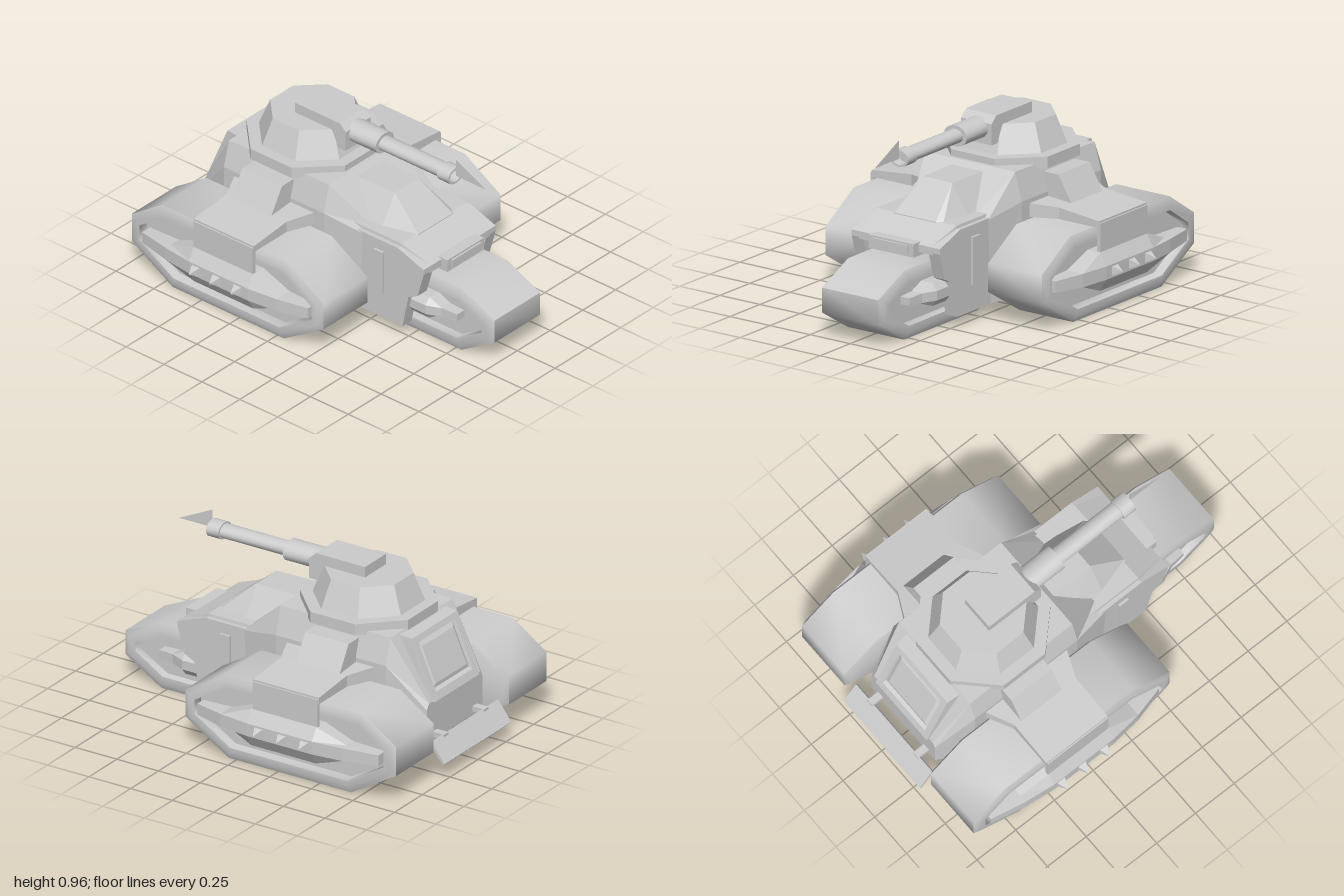
import * as THREE from 'three';
import { toCreasedNormals } from 'three/addons/utils/BufferGeometryUtils.js';

const flat = new THREE.MeshStandardMaterial({ color: 0xcccccc, flatShading: true });
const smooth = new THREE.MeshStandardMaterial({ color: 0xcccccc });
const thin = new THREE.MeshStandardMaterial({ color: 0xcccccc, flatShading: true, side: THREE.DoubleSide });

// Skins a list of equal-length rings of [x, y, z] corners, capped and turned outward
function loft(rings) {
  const pos = [];
  const tri = (a, b, c) => pos.push(...a, ...b, ...c);
  const n = rings[0].length;
  for (let r = 0; r < rings.length - 1; r++) {
    for (let i = 0; i < n; i++) {
      const j = (i + 1) % n, A = rings[r], B = rings[r + 1];
      tri(A[i], A[j], B[j]);
      tri(A[i], B[j], B[i]);
    }
  }
  const first = rings[0], last = rings[rings.length - 1];
  for (let i = 1; i < n - 1; i++) {
    tri(first[0], first[i + 1], first[i]);
    tri(last[0], last[i], last[i + 1]);
  }
  let volume = 0;
  const a = new THREE.Vector3(), b = new THREE.Vector3(), c = new THREE.Vector3();
  for (let i = 0; i < pos.length; i += 9) {
    volume += a.fromArray(pos, i).dot(b.fromArray(pos, i + 3).cross(c.fromArray(pos, i + 6)));
  }
  if (volume < 0) {
    for (let i = 0; i < pos.length; i += 9) {
      for (let k = 3; k < 6; k++) [pos[i + k], pos[i + k + 3]] = [pos[i + k + 3], pos[i + k]];
    }
  }
  const geo = new THREE.BufferGeometry();
  geo.setAttribute('position', new THREE.Float32BufferAttribute(pos, 3));
  geo.computeVertexNormals();
  return geo;
}

// Moves every edge of a convex [z, y] outline inward by d
function inset(outline, d) {
  const n = outline.length;
  return outline.map((p, i) => {
    const q = outline[(i + n - 1) % n], r = outline[(i + 1) % n];
    const u = new THREE.Vector2(p[0] - q[0], p[1] - q[1]).normalize();
    const v = new THREE.Vector2(r[0] - p[0], r[1] - p[1]).normalize();
    const k = d / (1 + u.dot(v));
    return [p[0] + k * (u.y + v.y), p[1] - k * (u.x + v.x)];
  });
}

// Symmetric cross-section at z from right-hand [x, y] corners, bottom to top
const section = (z, half) => [
  ...half.map(([x, y]) => [x, y, z]),
  ...half.slice().reverse().map(([x, y]) => [-x, y, z]),
];

export function createModel() {
  const model = new THREE.Group();
  const add = (name, geo, mat = flat) => {
    const mesh = new THREE.Mesh(geo, mat);
    mesh.name = name;
    model.add(mesh);
    return mesh;
  };
  // Box given by its limits
  const box = (name, x0, x1, y0, y1, z0, z1) => add(name, new THREE.BoxGeometry(Math.abs(x1 - x0), y1 - y0, z1 - z0)
    .translate((x0 + x1) / 2, (y0 + y1) / 2, (z0 + z1) / 2));
  // Track with chamfered edges; each step is [x, inset]
  const track = (name, outline, steps) => add(name, toCreasedNormals(
    loft(steps.map(([x, d]) => inset(outline, d).map(([z, y]) => [x, y, z]))), 1.07), smooth);
  // Faceted side pod; each station is [z, half height, outer x]
  const pod = (name, s, y, base, lip, ridge, stations) => add(name, loft(stations.map(([z, h, x]) => {
    const k = Math.min(h, ridge);
    return [[base, -h], [x - lip, -h], [x, -k], [x, k], [x - lip, h], [base, h]].map(([px, py]) => [s * px, y + py, z]);
  })));

  // Hull
  add('mainHull', loft([
    section(0.22, [[0.27, 0.06], [0.275, 0.5], [0.2, 0.51]]),
    section(0, [[0.32, 0.06], [0.32, 0.55], [0.28, 0.7]]),
    section(-0.66, [[0.32, 0.06], [0.32, 0.55], [0.28, 0.69]]),
    section(-0.86, [[0.25, 0.15], [0.25, 0.33], [0.23, 0.36]]),
  ]));
  add('frontDeck', loft([
    section(0.62, [[0.23, 0.41], [0.22, 0.45]]),
    section(0.45, [[0.27, 0.4], [0.25, 0.525]]),
    section(0.1, [[0.27, 0.4], [0.25, 0.525]]),
  ]));
  add('canopyHump', loft([
    section(0.46, [[0.17, 0.5], [0.13, 0.525]]),
    section(0.27, [[0.2, 0.5], [0.09, 0.675]]),
    section(-0.02, [[0.22, 0.5], [0.1, 0.675]]),
  ]));
  box('noseBlock', -0.14, 0.14, 0.39, 0.46, 0.52, 0.66);
  box('nosePanel', -0.11, 0.11, 0.4, 0.45, 0.65, 0.67);

  // Rear hatch on the sloping back
  const hatch = (w, y0, z0, y1, z1) => [[-w, y0, z0], [w, y0, z0], [w, y1, z1], [-w, y1, z1]];
  add('rearHatch', loft([
    hatch(0.21, 0.36, -0.82, 0.68, -0.64),
    hatch(0.2, 0.36, -0.875, 0.675, -0.74),
    hatch(0.165, 0.4, -0.858, 0.645, -0.753),
    hatch(0.16, 0.41, -0.838, 0.635, -0.738),
    hatch(0.14, 0.43, -0.838, 0.615, -0.758),
  ]));
  add('rearFlap', loft([-0.3, 0.3].map((x) => [
    [x, 0.18, -0.91], [x, 0.195, -0.92], [x, 0.09, -1], [x, 0.08, -0.99],
  ])));

  // Front track
  track('frontTrack', [
    [1, 0.26], [0.785, 0.36], [0.2, 0.36], [0.05, 0.2], [0.05, 0.07], [0.17, 0], [0.785, 0], [1, 0.13],
  ].reverse(), [
    [-0.15, 0.075], [-0.19, 0.07], [-0.19, 0.03], [-0.175, 0],
    [0.175, 0], [0.19, 0.03], [0.19, 0.07], [0.15, 0.075],
  ]);

  const rearOutline = [
    [0.305, 0.31], [0.07, 0.455], [-0.76, 0.455], [-0.96, 0.32], [-0.96, 0.16], [-0.69, 0], [0.045, 0], [0.305, 0.16],
  ].reverse();

  for (const s of [1, -1]) {
    // Front cheeks beside the front track
    const cheek = [[0.62, 0.45], [0.45, 0.51], [0, 0.51], [0, 0.06], [0.48, 0.06], [0.52, 0.25], [0.58, 0.28], [0.62, 0.42]];
    const shape = new THREE.Shape(cheek.map(([z, y]) => new THREE.Vector2(-z, y)));
    add('frontCheek', new THREE.ExtrudeGeometry(shape, { depth: 0.07, bevelEnabled: false })
      .rotateY(Math.PI / 2).translate(s * 0.24 - 0.035, 0, 0));
    box('cheekRib', s * 0.26, s * 0.288, 0.2, 0.45, 0.3, 0.36);
    pod('frontAxlePod', s, 0.2, 0.14, 0.03, 0.025, [
      [0.78, 0.02, 0.205], [0.69, 0.025, 0.215], [0.61, 0.06, 0.25], [0.42, 0.06, 0.25], [0.3, 0.02, 0.22],
    ]);

    // Rear track with side pod and spikes
    track('rearTrack', rearOutline, [
      [0.325, 0.03], [0.34, 0], [0.675, 0], [0.69, 0.03], [0.69, 0.065], [0.64, 0.07],
    ].map(([x, d]) => [s * x, d]));
    pod('sidePod', s, 0.23, 0.6, 0.04, 0.035, [
      [0.22, 0.03, 0.695], [0.05, 0.036, 0.74], [-0.12, 0.1, 0.76],
      [-0.51, 0.1, 0.76], [-0.68, 0.036, 0.74], [-0.87, 0.03, 0.7],
    ]);
    for (const z of [-0.19, -0.33, -0.465]) {
      add('spike', new THREE.ConeGeometry(0.036, 0.055, 4, 1, false, Math.PI / 4)
        .rotateZ(-s * Math.PI / 2).translate(s * 0.785, 0.23, z));
    }

    // Sponson bridging hull and track
    add('sponson', loft([[0.28, 0.455, 0.53, -0.05, -0.61], [0.46, 0.455, 0.515, -0.125, -0.52], [0.71, 0.455, 0.49, -0.125, -0.52]]
      .map(([x, y0, y1, z0, z1]) => [[s * x, y0, z0], [s * x, y1, z0], [s * x, y1, z1], [s * x, y0, z1]])));
    box('sponsonSkirt', s * 0.698, s * 0.718, 0.32, 0.48, -0.515, -0.125);
    add('sponsonBlock', loft([-0.22, -0.48].map((z) => [
      [s * 0.28, 0.48, z], [s * 0.485, 0.48, z], [s * 0.385, 0.65, z], [s * 0.28, 0.65, z],
    ])));
    box('flapStrut', s * 0.16, s * 0.2, 0.165, 0.195, -0.93, -0.8);
  }

  // Turret
  const octagon = (name, top, bottom, y0, y1) => {
    const k = 1 / Math.cos(Math.PI / 8);
    add(name, new THREE.CylinderGeometry(top * k, bottom * k, y1 - y0, 8, 1, false, Math.PI / 8)
      .translate(0, (y0 + y1) / 2, -0.345));
  };
  octagon('turretRing', 0.325, 0.325, 0.675, 0.735);
  octagon('turret', 0.21, 0.265, 0.735, 0.88);
  const mantlet = [[-0.05, 0.79], [-0.05, 0.9], [-0.09, 0.937], [-0.385, 0.937], [-0.385, 0.87], [-0.14, 0.79]];
  add('gunMantlet', loft([-0.095, 0.095].map((x) => mantlet.map(([z, y]) => [x, y, z]))));

  // Gun barrel with hollow muzzle
  const bore = [[0, -0.1], [0.055, -0.1], [0.055, 0.125], [0.037, 0.125], [0.037, 0.52],
    [0.045, 0.52], [0.045, 0.595], [0.034, 0.595], [0.034, 0.54], [0, 0.54]];
  const barrel = add('gunBarrel', toCreasedNormals(
    new THREE.LatheGeometry(bore.map(([r, z]) => new THREE.Vector2(r, z)), 16).rotateX(Math.PI / 2), 0.6), smooth);
  barrel.scale.x = 1.3;
  barrel.position.y = 0.867;

  // Thin pennant-shaped blade at the muzzle
  const blade = new THREE.Shape([[-0.595, 0.865], [-0.795, 0.865], [-0.595, 0.962]].map(([a, b]) => new THREE.Vector2(a, b)));
  add('muzzleBlade', new THREE.ShapeGeometry(blade).rotateY(Math.PI / 2), thin);

  return model;
}
